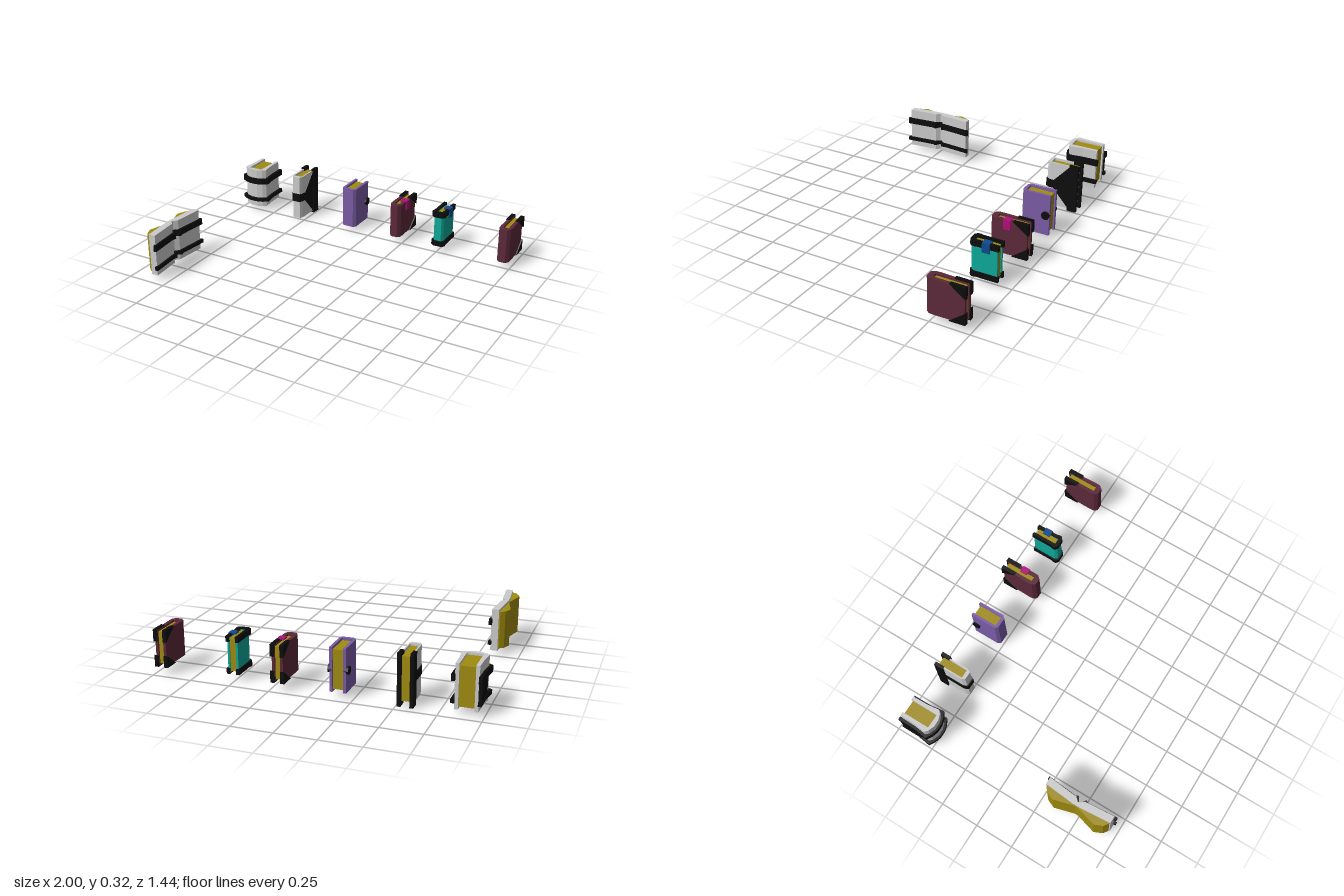
import * as THREE from 'three';

const mat = (color) => new THREE.MeshStandardMaterial({ color, flatShading: true, roughness: 0.9 });
const grey = mat(0xcccccc), black = mat(0x0c0c0c), gold = mat(0xa08c10), purple = mat(0x7a5ca6);
const maroon = mat(0x5c283a), teal = mat(0x0da898), magenta = mat(0xb0107a), blue = mat(0x104a90);

const add = (parent, name, geo, material) => {
  const mesh = new THREE.Mesh(geo, material);
  mesh.name = name;
  parent.add(mesh);
  return mesh;
};

// Upright prism from an [x, z] outline
function slab(parent, name, pts, y0, y1, material) {
  const shape = new THREE.Shape(pts.map(([x, z]) => new THREE.Vector2(x, -z)));
  const geo = new THREE.ExtrudeGeometry(shape, { depth: y1 - y0, bevelEnabled: false });
  return add(parent, name, geo.rotateX(-Math.PI / 2).translate(0, y0, 0), material);
}

// Plate on a book's side from a [z, y] outline, thick from x0 to x1
function plate(parent, name, pts, x0, x1, material) {
  const shape = new THREE.Shape(pts.map(([z, y]) => new THREE.Vector2(-z, y)));
  const geo = new THREE.ExtrudeGeometry(shape, { depth: x1 - x0, bevelEnabled: false });
  return add(parent, name, geo.rotateY(Math.PI / 2).translate(x0, 0, 0), material);
}

function box(parent, name, x0, x1, y0, y1, z0, z1, material) {
  const geo = new THREE.BoxGeometry(x1 - x0, y1 - y0, z1 - z0);
  return add(parent, name, geo.translate((x0 + x1) / 2, (y0 + y1) / 2, (z0 + z1) / 2), material);
}

// Mirrored U outline: half profiles run from the open back edge to the spine
function uShape(outer, inner) {
  const flip = (pts) => pts.map(([x, z]) => [-x, z]);
  return [...outer, ...flip(outer).reverse(), ...flip(inner), ...[...inner].reverse()];
}

function newBook(root, name, x) {
  const g = new THREE.Group();
  g.name = name;
  g.position.x = x;
  root.add(g);
  return g;
}

// Thick book with two straps and a side panel
function strappedBook(root) {
  const g = newBook(root, 'strappedBook', -0.9);
  const cover = [[0.068, -0.7], [0.07, -0.6], [0.08, -0.52], [0.06, -0.502], [0.022, -0.488]];
  const strap = [[0.087, -0.715], [0.087, -0.6], [0.1, -0.51], [0.065, -0.488], [0.022, -0.475]];
  const inner = [[0.046, -0.7], [0.046, -0.515]];
  slab(g, 'cover', uShape(cover, inner), 0.03, 0.3, grey);
  box(g, 'pages', -0.046, 0.046, 0.045, 0.285, -0.69, -0.514, gold);
  const strapInner = [[0.066, -0.715], [0.066, -0.6], [0.074, -0.53], [0.055, -0.51]];
  for (const [a, b] of [[0.07, 0.095], [0.2, 0.24]]) {
    slab(g, 'strap', uShape(strap, strapInner), a, b, black);
  }
  box(g, 'sidePanel', -0.086, -0.066, 0.08, 0.22, -0.705, -0.57, black);
}

// Tall book with edge strips and a central band
function bandedBook(root) {
  const g = newBook(root, 'bandedBook', -0.555);
  const inner = [[0.028, -0.7], [0.028, -0.515]];
  slab(g, 'cover', uShape([[0.037, -0.7], [0.037, -0.515], [0.026, -0.492]], inner), 0.012, 0.312, grey);
  box(g, 'pages', -0.028, 0.028, 0.03, 0.297, -0.686, -0.514, gold);
  slab(g, 'band', uShape([[0.041, -0.69], [0.041, -0.512], [0.028, -0.485]],
    [[0.032, -0.69], [0.032, -0.515]]), 0.135, 0.19, black);
  for (const s of [-1, 1]) {
    const [a, b] = s < 0 ? [-0.048, -0.026] : [0.026, 0.048];
    box(g, 'edgeStrip', a, b, 0, 0.32, -0.705, -0.645, black);
  }
  // flared strap on one cover
  plate(g, 'flare', [[-0.65, 0.012], [-0.65, 0.312], [-0.54, 0.19], [-0.54, 0.135]], 0.03, 0.042, black);
}

// Plain book with a round stud on each cover
function studdedBook(root) {
  const g = newBook(root, 'studdedBook', -0.157);
  slab(g, 'cover', uShape([[0.05, -0.697], [0.05, -0.527], [0.034, -0.51]],
    [[0.033, -0.697], [0.033, -0.53]]), 0.03, 0.3, purple);
  box(g, 'pages', -0.033, 0.033, 0.045, 0.285, -0.686, -0.529, gold);
  for (const s of [-1, 1]) {
    const geo = new THREE.CylinderGeometry(0.027, 0.027, 0.026, 8).rotateZ(Math.PI / 2);
    add(g, 'stud', geo, black).position.set(s * 0.049, 0.165, -0.672);
  }
}

// Ribbon folded over the top of a cover
function ribbon(g, x, top, z, material) {
  box(g, 'ribbonTop', 0.002, x, top - 0.006, top + 0.004, z - 0.024, z + 0.024, material);
  box(g, 'ribbonTail', x - 0.01, x, top - 0.06, top + 0.004, z - 0.024, z + 0.024, material);
}

// Book with triangular corner guards
function corneredBook(root, x, marked) {
  const g = newBook(root, 'corneredBook', x);
  slab(g, 'cover', uShape([[0.034, -0.712], [0.04, -0.53], [0.038, -0.495], [0.021, -0.475]],
    [[0.017, -0.712], [0.017, -0.51]]), 0.05, 0.275, maroon);
  box(g, 'pages', -0.017, 0.017, 0.062, 0.263, -0.7, -0.509, gold);
  for (const [a, b] of [[-0.043, -0.018], [0.018, 0.043]]) {
    for (const [y, d] of [[0.045, 0.075], [0.28, -0.075]]) {
      plate(g, 'cornerGuard', [[-0.72, y], [-0.62, y], [-0.72, y + d]], a, b, black);
    }
  }
  if (marked) ribbon(g, 0.044, 0.275, -0.583, magenta);
}

// Small book with full caps at top and bottom
function cappedBook(root) {
  const g = newBook(root, 'cappedBook', 0.504);
  slab(g, 'cover', uShape([[0.033, -0.672], [0.034, -0.52], [0.022, -0.503]],
    [[0.02, -0.672], [0.02, -0.52]]), 0.052, 0.272, teal);
  box(g, 'pages', -0.02, 0.02, 0.06, 0.265, -0.665, -0.519, gold);
  const cap = [[0.041, -0.68], [0.041, -0.54], [0.045, -0.53], [0.045, -0.51], [0.026, -0.495]];
  for (const y of [0.045, 0.245]) {
    slab(g, 'cap', uShape(cap, [[0.02, -0.68], [0.02, -0.52]]), y, y + 0.035, black);
  }
  ribbon(g, 0.046, 0.28, -0.602, blue);
}

// Book lying open, covers towards +x
function openBook(root) {
  const g = newBook(root, 'openBook', 0);
  const mid = 0.485;
  // half sections of [x, distance from the spine]; mirrored across the spine
  const both = (half) => [...half.map(([x, d]) => [x, mid - d]),
    ...[...half].reverse().map(([x, d]) => [x, mid + d])];
  const ring = (out, inn) => [...both(out), ...both(inn).reverse()];
  const outer = [[-0.82, 0.22], [-0.836, 0.05], [-0.836, 0.03], [-0.858, 0.006]];
  const inner = [[-0.865, 0.22], [-0.882, 0.03]];
  slab(g, 'cover', ring(outer, inner), 0.03, 0.3, grey);
  slab(g, 'pages', ring([[-0.863, 0.213], [-0.874, 0.03]],
    [[-0.872, 0.213], [-0.9, 0.192], [-0.922, 0.14], [-0.886, 0.01]]), 0.045, 0.285, gold);
  const strapOut = [[-0.806, 0.235], [-0.824, 0.045], [-0.815, 0.025], [-0.848, 0.004]];
  const strapIn = [[-0.824, 0.235], [-0.842, 0.05], [-0.838, 0.03], [-0.862, 0.006]];
  for (const [a, b] of [[0.07, 0.095], [0.2, 0.24]]) slab(g, 'strap', ring(strapOut, strapIn), a, b, black);
}

export function createModel() {
  const root = new THREE.Group();
  root.name = 'bookSet';
  strappedBook(root);
  bandedBook(root);
  studdedBook(root);
  corneredBook(root, 0.205, true);
  cappedBook(root);
  corneredBook(root, 0.957, false);
  openBook(root);
  return root;
}
